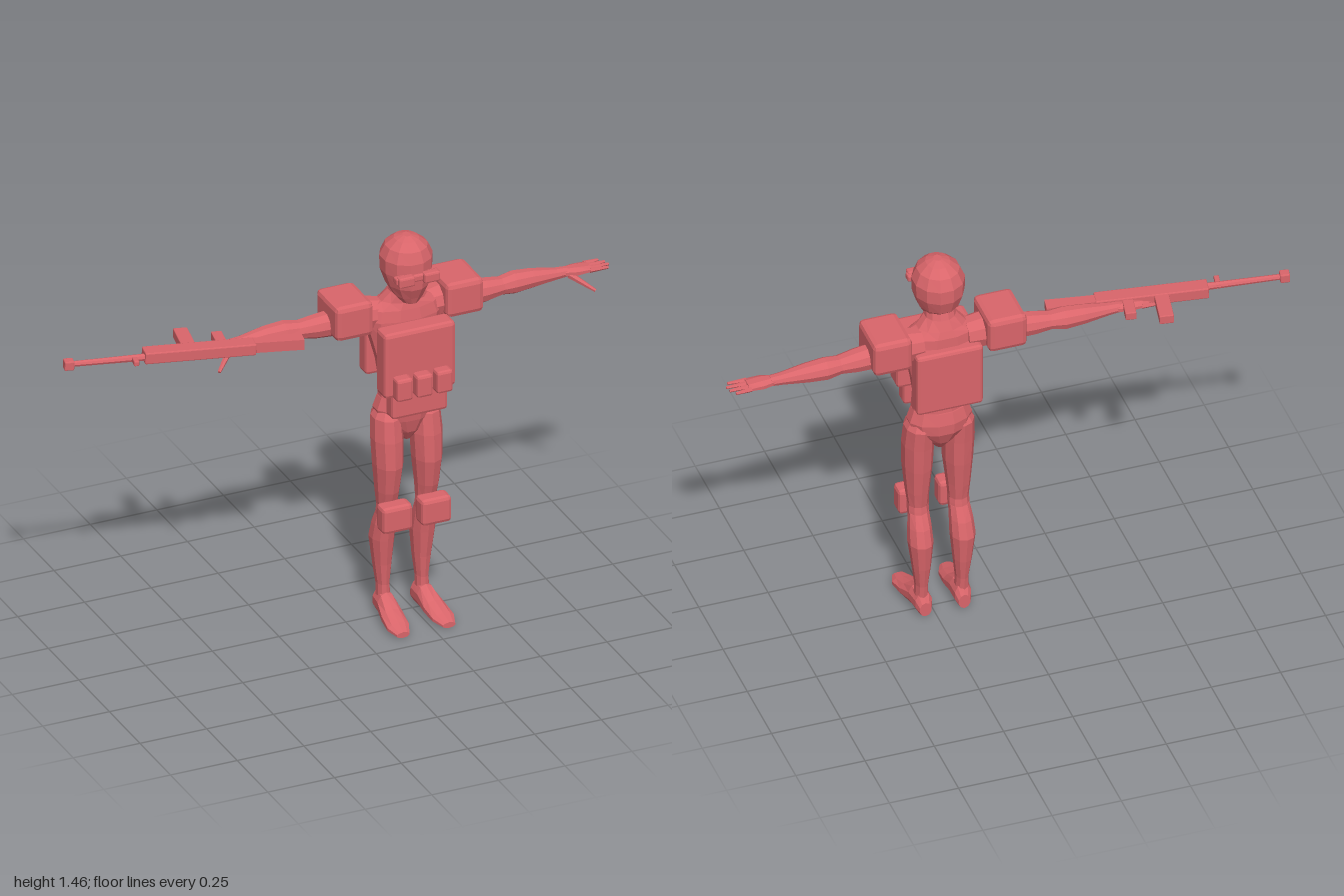
import * as THREE from 'three';
import { RoundedBoxGeometry } from 'three/addons/geometries/RoundedBoxGeometry.js';

const coral = new THREE.MeshStandardMaterial({ color: 0xd9656a, flatShading: true });
coral.name = 'coral';

function part(parent, name, geometry) {
  const mesh = new THREE.Mesh(geometry, coral);
  mesh.name = name;
  parent.add(mesh);
  return mesh;
}

// Chamfered box from size and centre
function block(w, h, d, x, y, z, bevel = 0.012) {
  return new RoundedBoxGeometry(w, h, d, 1, bevel).translate(x, y, z);
}

// Elliptical loft; each ring is [t, u, v, ru, rv]:
// axis y: t=y u=x v=z, axis x: t=x u=y v=z, axis z: t=z u=x v=y
function loft(axis, rings, sides = 10) {
  const pos = [], idx = [];
  const put = (t, u, v) => {
    if (axis === 'y') pos.push(u, t, v);
    else if (axis === 'x') pos.push(t, u, v);
    else pos.push(u, v, t);
  };
  const tri = (a, b, c) => (axis === 'y' ? idx.push(a, c, b) : idx.push(a, b, c));
  for (const [t, u, v, ru, rv] of rings) {
    for (let i = 0; i < sides; i++) {
      const a = ((i + 0.5) / sides) * Math.PI * 2;
      put(t, u + ru * Math.cos(a), v + rv * Math.sin(a));
    }
  }
  for (let r = 0; r < rings.length - 1; r++) {
    for (let i = 0; i < sides; i++) {
      const a = r * sides + i, b = r * sides + ((i + 1) % sides);
      tri(a, b, b + sides);
      tri(a, b + sides, a + sides);
    }
  }
  const last = (rings.length - 1) * sides;
  for (let i = 1; i < sides - 1; i++) {
    tri(0, i + 1, i);
    tri(last, last + i, last + i + 1);
  }
  const g = new THREE.BufferGeometry();
  g.setAttribute('position', new THREE.Float32BufferAttribute(pos, 3));
  g.setIndex(idx);
  g.computeVertexNormals();
  return g;
}

// Tapered rod between two points
function rod(from, to, r0, r1, sides = 6) {
  const a = new THREE.Vector3(...from), b = new THREE.Vector3(...to);
  const dir = b.clone().sub(a), len = dir.length();
  const g = new THREE.CylinderGeometry(r1, r0, len, sides);
  g.applyQuaternion(new THREE.Quaternion().setFromUnitVectors(new THREE.Vector3(0, 1, 0), dir.normalize()));
  return g.translate(...a.add(b).multiplyScalar(0.5).toArray());
}

// Copy across x = 0 with the winding turned back
function mirrored(geometry) {
  const g = geometry.index ? geometry.toNonIndexed() : geometry.clone();
  const p = g.attributes.position;
  for (let i = 0; i < p.count; i += 3) {
    const v = [0, 2, 1].map((k) => [-p.getX(i + k), p.getY(i + k), p.getZ(i + k)]);
    v.forEach((c, k) => p.setXYZ(i + k, ...c));
  }
  g.computeVertexNormals();
  return g;
}

function pair(parent, name, geometry) {
  part(parent, 'left' + name, geometry);
  part(parent, 'right' + name, mirrored(geometry));
}

function buildBody() {
  const body = new THREE.Group();
  body.name = 'soldier';

  part(body, 'head', loft('y', [
    [1.225, 0, 0.048, 0.03, 0.035], [1.25, 0, 0.038, 0.053, 0.055], [1.29, 0, 0.024, 0.074, 0.088],
    [1.34, 0, 0.018, 0.09, 0.098], [1.39, 0, 0.018, 0.092, 0.097], [1.43, 0, 0.02, 0.074, 0.08],
    [1.455, 0, 0.022, 0.043, 0.05], [1.466, 0, 0.024, 0.014, 0.018]], 12));
  part(body, 'torso', loft('y', [
    [0.84, 0, 0.012, 0.1, 0.068], [0.93, 0, 0.006, 0.097, 0.056], [1.0, 0, 0.004, 0.108, 0.06],
    [1.08, 0, -0.005, 0.128, 0.072], [1.15, 0, -0.01, 0.15, 0.073], [1.19, 0, -0.012, 0.135, 0.068],
    [1.215, 0, -0.01, 0.088, 0.06], [1.25, 0, 0, 0.056, 0.054], [1.29, 0, 0.01, 0.05, 0.05]], 12));
  part(body, 'pelvis', loft('y', [
    [0.68, 0, 0.012, 0.018, 0.025], [0.72, 0, 0.01, 0.055, 0.055], [0.77, 0, 0.006, 0.105, 0.074],
    [0.81, 0, 0.008, 0.116, 0.078], [0.855, 0, 0.01, 0.1, 0.07]], 12));

  // Goggles
  part(body, 'goggleBand', block(0.165, 0.026, 0.03, 0, 1.342, 0.108, 0.006));
  pair(body, 'GoggleLens', block(0.06, 0.038, 0.032, 0.047, 1.341, 0.121, 0.007));

  // Armour and load
  part(body, 'chestPlate', block(0.267, 0.248, 0.08, 0, 1.031, 0.1, 0.014));
  part(body, 'bellyPlate', block(0.208, 0.14, 0.062, 0, 0.89, 0.106));
  for (const x of [-0.075, 0, 0.075]) part(body, 'pouch', block(0.06, 0.084, 0.05, x, 0.951, 0.155, 0.01));
  part(body, 'backpack', block(0.24, 0.245, 0.066, 0, 1.032, -0.078, 0.012));
  pair(body, 'ShoulderPad', block(0.14, 0.13, 0.178, 0.207, 1.185, -0.03, 0.018));
  pair(body, 'KneePad', block(0.112, 0.1, 0.066, 0.073, 0.42, 0.085, 0.014));

  // Legs
  pair(body, 'Thigh', loft('y', [
    [0.44, 0.073, 0.02, 0.036, 0.038], [0.5, 0.074, 0.025, 0.042, 0.052], [0.6, 0.073, 0.028, 0.052, 0.067],
    [0.7, 0.073, 0.022, 0.056, 0.068], [0.78, 0.072, 0.012, 0.052, 0.066], [0.805, 0.07, 0.01, 0.038, 0.05]]));
  pair(body, 'Knee', loft('y', [
    [0.38, 0.073, 0.012, 0.036, 0.036], [0.42, 0.073, 0.02, 0.038, 0.038], [0.455, 0.073, 0.024, 0.036, 0.036]]));
  pair(body, 'Calf', loft('y', [
    [0.07, 0.073, -0.012, 0.024, 0.033], [0.12, 0.073, -0.015, 0.023, 0.033], [0.2, 0.074, -0.018, 0.033, 0.042],
    [0.3, 0.076, -0.016, 0.044, 0.054], [0.36, 0.075, -0.002, 0.041, 0.048], [0.41, 0.073, 0.012, 0.036, 0.034]]));
  pair(body, 'Foot', loft('z', [
    [-0.055, 0.07, 0.03, 0.022, 0.028], [-0.035, 0.071, 0.046, 0.031, 0.045], [0.02, 0.074, 0.047, 0.035, 0.046],
    [0.08, 0.079, 0.03, 0.042, 0.029], [0.14, 0.084, 0.019, 0.042, 0.018], [0.185, 0.086, 0.012, 0.024, 0.011]]));

  // Arms
  pair(body, 'UpperArm', loft('x', [
    [0.08, 1.16, -0.025, 0.055, 0.056], [0.15, 1.165, -0.028, 0.064, 0.064], [0.26, 1.152, -0.034, 0.047, 0.046],
    [0.32, 1.15, -0.037, 0.042, 0.043], [0.385, 1.15, -0.041, 0.031, 0.036]]));
  pair(body, 'Forearm', loft('x', [
    [0.375, 1.15, -0.041, 0.031, 0.036], [0.43, 1.15, -0.046, 0.04, 0.042], [0.5, 1.15, -0.047, 0.034, 0.037],
    [0.59, 1.147, -0.045, 0.021, 0.025], [0.63, 1.147, -0.045, 0.018, 0.022]]));

  // Hands
  pair(body, 'Palm', loft('x', [
    [0.615, 1.147, -0.045, 0.016, 0.022], [0.66, 1.147, -0.043, 0.017, 0.035], [0.712, 1.148, -0.043, 0.011, 0.035]], 8));
  [0.05, 0.066, 0.071, 0.06].forEach((len, i) => {
    const z = -0.071 + i * 0.0185;
    pair(body, 'Finger', rod([0.705, 1.148, z], [0.712 + len, 1.147, z * 1.15 + 0.006], 0.009, 0.005));
  });
  pair(body, 'Thumb', rod([0.635, 1.14, -0.03], [0.705, 1.092, 0.03], 0.013, 0.006));
  return body;
}

// Rifle lying on its side, muzzle toward -x
function buildRifle() {
  const rifle = new THREE.Group();
  rifle.name = 'rifle';
  part(rifle, 'receiver', block(0.39, 0.042, 0.058, 0, 0, 0, 0.004));
  part(rifle, 'barrel', rod([-0.18, 0, 0.012], [-0.465, 0, 0.018], 0.013, 0.01, 8));
  part(rifle, 'muzzle', block(0.034, 0.034, 0.034, -0.462, 0, 0.018, 0.004));
  part(rifle, 'frontSight', block(0.018, 0.018, 0.055, -0.232, 0, 0.03, 0.003));
  part(rifle, 'magazine', block(0.05, 0.034, 0.12, -0.032, 0, -0.086, 0.003));
  part(rifle, 'grip', block(0.038, 0.03, 0.08, 0.085, 0, -0.064, 0.003));

  // Stock flares toward the butt
  const stock = new THREE.BoxGeometry(0.18, 0.038, 0.04);
  const p = stock.attributes.position;
  for (let i = 0; i < p.count; i++) if (p.getX(i) > 0) p.setZ(i, p.getZ(i) * 1.3);
  part(rifle, 'stock', stock.translate(0.275, 0, -0.006));

  rifle.position.set(-0.535, 1.155, -0.032);
  rifle.rotation.set(0, -0.19, -0.035);
  return rifle;
}

export function createModel() {
  const model = new THREE.Group();
  model.name = 'armedSoldier';
  const body = buildBody();
  body.position.x = 0.217;
  model.add(body, buildRifle());
  return model;
}
